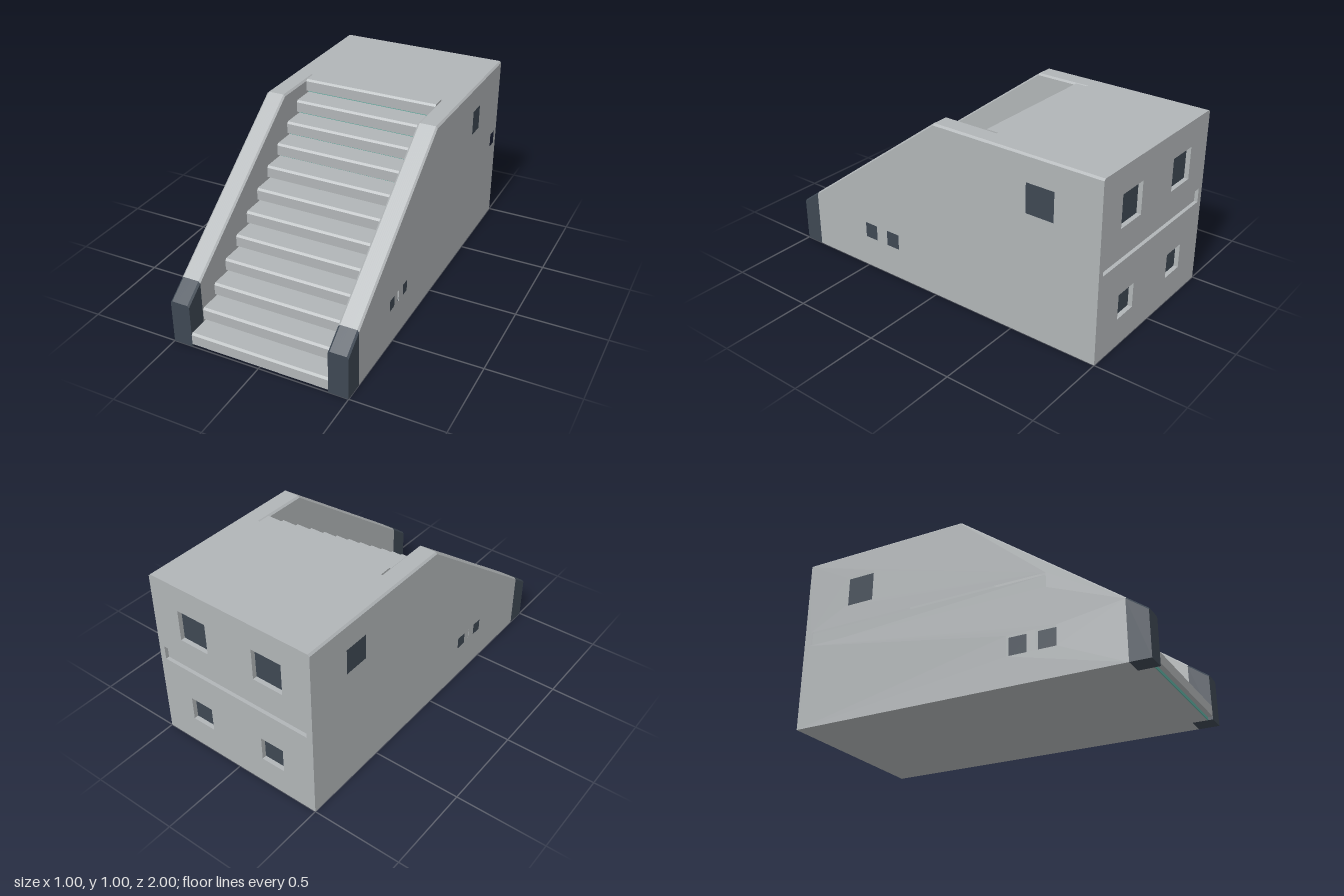
import * as THREE from 'three';

const stone = new THREE.MeshStandardMaterial({ color: 0xb1b5b7 });
stone.name = 'pale grey stone';
const slate = new THREE.MeshStandardMaterial({ color: 0x3e4853 });
slate.name = 'dark slate';
const teal = new THREE.MeshStandardMaterial({ color: 0x5fada0 });
teal.name = 'teal light';

const SKIN = 0.03;      // thickness of the outer layer holding the recesses
const STEPS = 12, RISE = 1 / STEPS, RUN = 1.25 / 11;
const topY = (z) => Math.min(1, 0.25 + (1 - z) * 0.75 / 1.01);

// Recesses as [centre, y centre, width, height]; centre is z on the sides, x on the back
const sideWindows = [[-0.65, 0.765, 0.18, 0.18], [0.48, 0.215, 0.11, 0.11], [0.32, 0.215, 0.11, 0.11]];
const sideGroove = [-0.24, 0.525, 1.45, 0.08];
const backWindows = [-0.237, 0.237].flatMap((x) => [[x, 0.765, 0.18, 0.18], [x, 0.23, 0.14, 0.14]]);
const backGroove = [0, 0.525, 0.93, 0.08];

function shapeOf(points, recesses = [], sign = 1) {
  const shape = new THREE.Shape(points.map(([a, y]) => new THREE.Vector2(sign * a, y)));
  for (const [c, y, w, h] of recesses) {
    const hole = new THREE.Path();
    const x0 = sign * c - w / 2, y0 = y - h / 2;
    hole.moveTo(x0, y0).lineTo(x0, y0 + h).lineTo(x0 + w, y0 + h).lineTo(x0 + w, y0).closePath();
    shape.holes.push(hole);
  }
  return shape;
}

// Extrudes a (z, y) profile sideways from x0 to x1
function sideways(points, x0, x1, recesses, steps = 1) {
  const geo = new THREE.ExtrudeGeometry(shapeOf(points, recesses, -1), { depth: x1 - x0, steps, bevelEnabled: false });
  return geo.rotateY(Math.PI / 2).translate(x0, 0, 0);
}

// Side wall slice whose top edges are chamfered at x = 0.39 and x = 0.5
function wallSlice(side, zBack, zFront, inner, outer, recesses) {
  const points = [[zBack, 0], [zFront, 0], [zFront, topY(zFront)]];
  if (zBack < -0.01) points.push([-0.01, 1]);
  points.push([zBack, topY(zBack)]);
  const [x0, x1] = side > 0 ? [inner, outer] : [-outer, -inner];
  const geo = sideways(points, x0, x1, recesses, Math.round((outer - inner) / 0.01));
  const p = geo.attributes.position;
  for (let i = 0; i < p.count; i++) {
    if (topY(p.getZ(i)) - p.getY(i) > 1e-4) continue;
    const drop = Math.max(0, Math.abs(Math.abs(p.getX(i)) - 0.445) - 0.045);
    p.setY(i, p.getY(i) - drop);
  }
  geo.computeVertexNormals();
  return geo;
}

export function createModel() {
  const model = new THREE.Group();
  model.name = 'staircase building';
  const add = (name, geo, material) => {
    const mesh = new THREE.Mesh(geo, material);
    mesh.name = name;
    model.add(mesh);
    return mesh;
  };
  const box = (name, material, w, h, d, x, y, z) =>
    add(name, new THREE.BoxGeometry(w, h, d).translate(x, y, z), material);

  // Stairs: each step has a recess at its foot and a chamfered nosing
  const profile = [];
  for (let i = 0; i < STEPS; i++) {
    const z = 1 - i * RUN, y = i * RISE;
    profile.push([z - 0.03, y], [z - 0.03, y + 0.016], [z, y + 0.016],
      [z, y + RISE - 0.011], [z - 0.01, y + RISE]);
    box('stepLight', teal, 0.78, 0.016, 0.005, 0, y + 0.008, z - 0.0275);
  }
  profile.push([-0.33, 1], [-0.33, 0]);
  add('stairs', sideways(profile, -0.39, 0.39), stone);

  // Solid block under the upper platform
  const zRear = -1 + SKIN;
  box('platformBlock', stone, 2 * (0.5 - SKIN), 1, -0.33 - zRear, 0, 0.5, (zRear - 0.33) / 2);

  // Side walls, end posts and recessed details
  for (const side of [1, -1]) {
    add('balustrade', wallSlice(side, -0.33, 0.89, 0.39, 0.5 - SKIN), stone);
    add('sideWall', wallSlice(side, -1, 0.89, 0.5 - SKIN, 0.5, [...sideWindows, sideGroove]), stone);
    add('endPost', wallSlice(side, 0.89, 1, 0.39, 0.5), slate);
    for (const [z, y, w, h] of sideWindows)
      box('sideWindow', slate, 0.005, h, w, side * (0.5 - SKIN + 0.0025), y, z);
    const [z, y, w, h] = sideGroove;
    box('sideGrooveBed', stone, 0.01, h, w, side * (0.5 - SKIN + 0.005), y, z);
  }

  // Back wall
  const e = 0.5 - SKIN;
  const backShape = shapeOf([[-e, 0], [e, 0], [e, 1], [-e, 1]], [...backWindows, backGroove]);
  const back = new THREE.ExtrudeGeometry(backShape, { depth: SKIN, bevelEnabled: false });
  add('backWall', back.translate(0, 0, -1), stone);
  for (const [x, y, w, h] of backWindows)
    box('backWindow', slate, w, h, 0.005, x, y, zRear - 0.0025);
  const [x, y, w, h] = backGroove;
  box('backGrooveBed', stone, w, h, 0.01, x, y, zRear - 0.005);

  return model;
}
